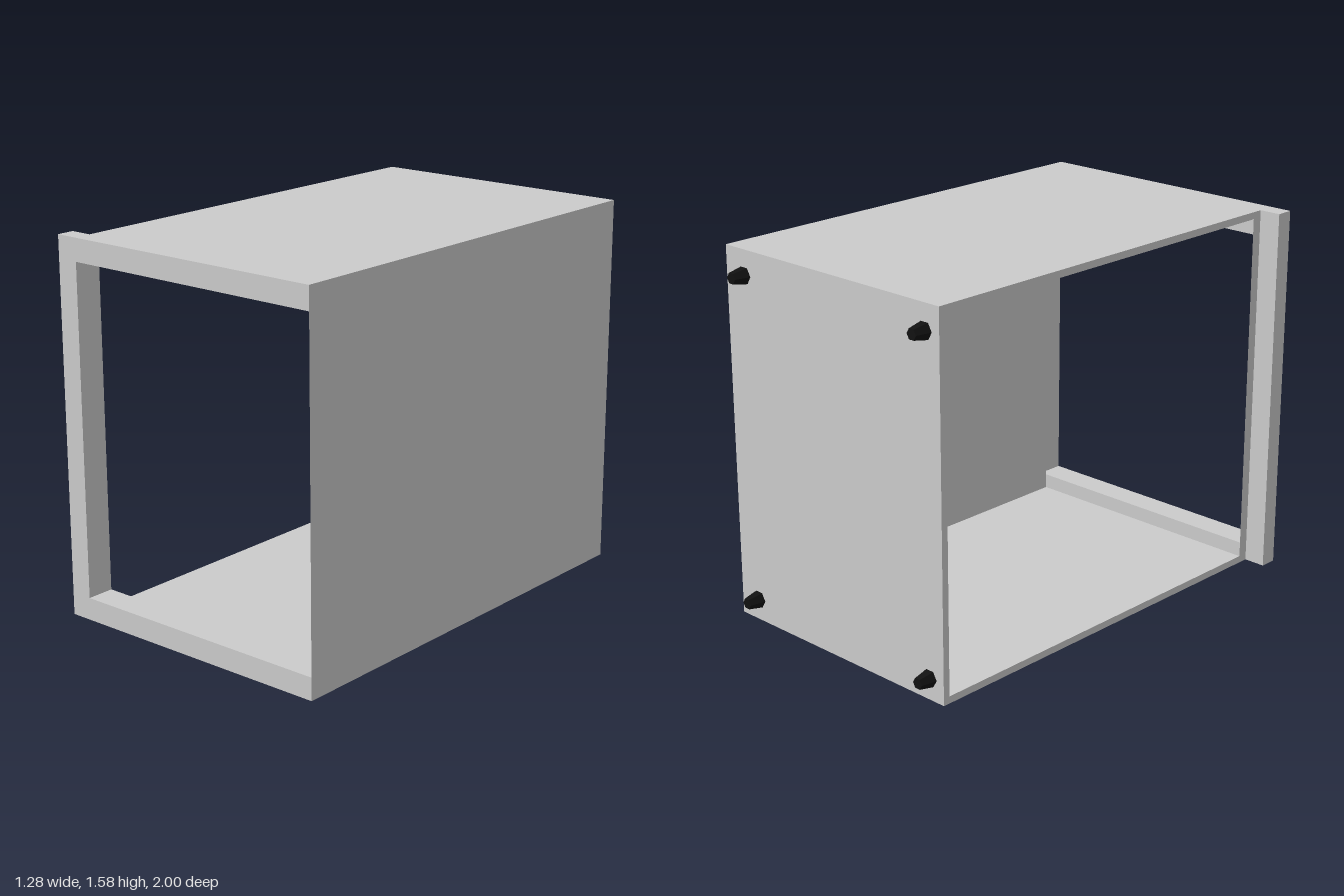
import * as THREE from 'three';

const GREY = new THREE.MeshStandardMaterial({ color: 0xcccccc });
const SHEET = new THREE.MeshStandardMaterial({ color: 0xcccccc, side: THREE.DoubleSide });
const BLACK = new THREE.MeshStandardMaterial({ color: 0x111111, flatShading: true });

// Main dimensions
const L = -0.545, R = 0.64, H = 1.58, BACK = -0.935, FRONT = 1;
const T = 0.03;        // panel thickness
const RAIL = 0.095;    // frame width
const LIP = 0.88;      // rear edge of the front frame
const FLANGE = 0.925;  // rear edge of the side flange

export function createModel() {
  const group = new THREE.Group();

  const add = (name, geometry, material) => {
    const mesh = new THREE.Mesh(geometry, material);
    mesh.name = name;
    group.add(mesh);
    return mesh;
  };

  // Box given by its limits on each axis
  const box = (name, x0, x1, y0, y1, z0, z1) =>
    add(name, new THREE.BoxGeometry(x1 - x0, y1 - y0, z1 - z0), GREY)
      .position.set((x0 + x1) / 2, (y0 + y1) / 2, (z0 + z1) / 2);

  // Thin upright sheet facing sideways
  const sheet = (name, x, y0, y1, z0, z1) => {
    const mesh = add(name, new THREE.PlaneGeometry(z1 - z0, y1 - y0), SHEET);
    mesh.rotation.y = Math.PI / 2;
    mesh.position.set(x, (y0 + y1) / 2, (z0 + z1) / 2);
  };

  // Cabinet panels; one side stays open
  box('bottomPanel', L, R, 0, T, BACK, LIP);
  box('topPanel', L, R, H - T, H, BACK, LIP);
  box('backPanel', L, R, T, H - T, BACK, BACK + T);
  box('sidePanel', R - T, R, T, H - T, BACK + T, LIP);

  // Front frame: two rails, a projecting flange and thin lips at both sides
  box('bottomRail', L, R, 0, RAIL, LIP, FRONT);
  box('topRail', L, R, H - RAIL, H, LIP, FRONT);
  box('sideFlange', L - RAIL, L, 0, H, FLANGE, FRONT);
  sheet('flangeLip', L, RAIL, H - RAIL, LIP, FLANGE);
  sheet('sidePanelLip', R, RAIL, H - RAIL, LIP, FRONT);

  // Tapered six-sided feet on the back
  const footLength = FRONT + BACK;
  const footGeometry = new THREE.CylinderGeometry(0.024, 0.037, footLength, 6)
    .rotateY(Math.PI / 2)
    .rotateX(-Math.PI / 2);
  for (const x of [-0.47, 0.535])
    for (const y of [0.092, 1.475])
      add('foot', footGeometry, BLACK).position.set(x, y, BACK - footLength / 2);

  return group;
}
